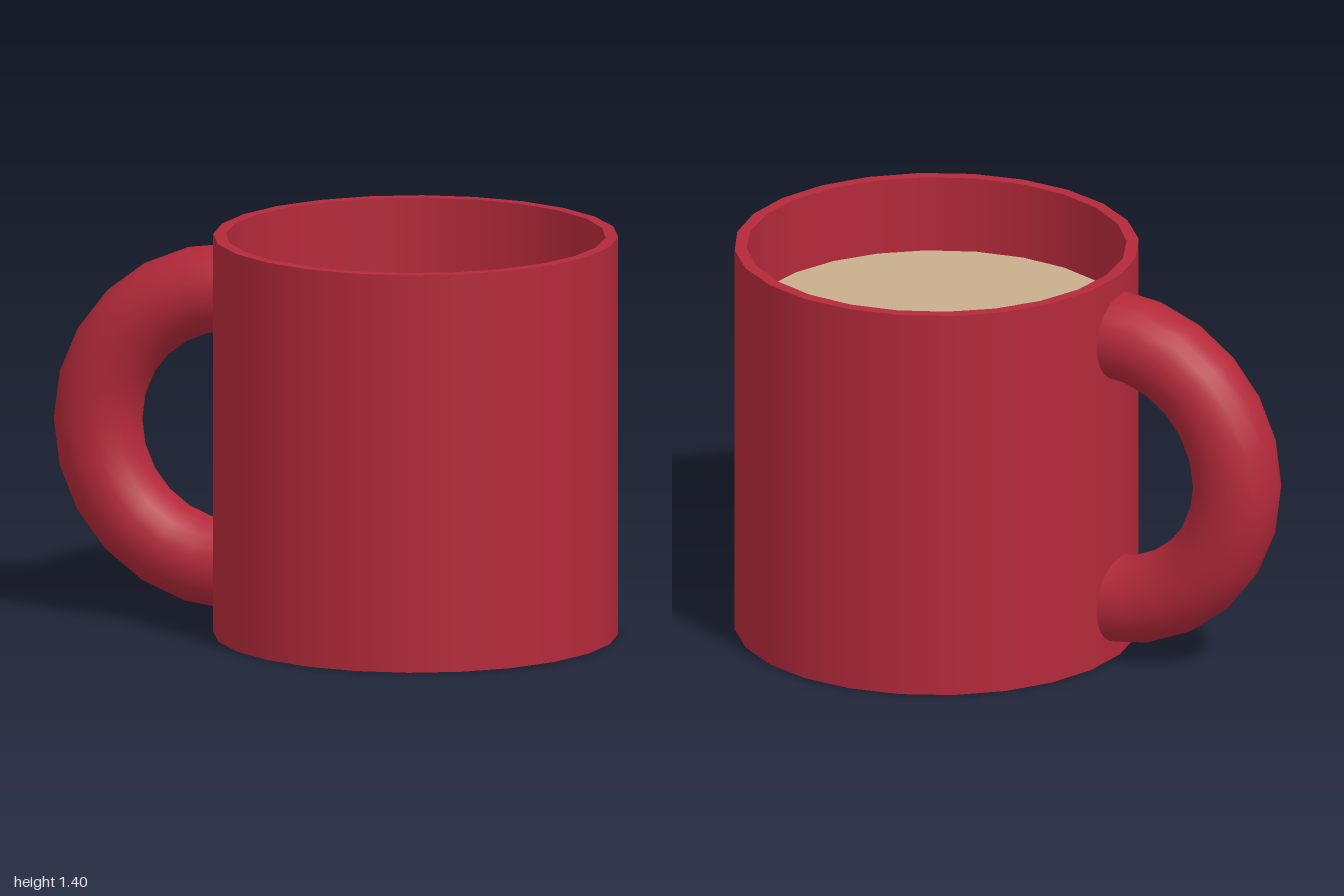
import * as THREE from 'three';

const SIDES = 24;
const OUTER = 0.7, INNER = 0.657, HEIGHT = 1.4, FLOOR = 0.06, LEVEL = 1.13;
const TWIST = THREE.MathUtils.degToRad(-1.7); // the inner wall is turned slightly

export function createModel() {
  const red = new THREE.MeshStandardMaterial({ color: 0xb3293a });
  const redInside = new THREE.MeshStandardMaterial({ color: 0xb3293a, side: THREE.BackSide });
  const tan = new THREE.MeshStandardMaterial({ color: 0xc8ad8c });

  const model = new THREE.Group();
  model.name = 'mug';
  const cup = new THREE.Group();
  cup.name = 'cup';
  cup.position.x = 0.3;
  model.add(cup);

  const add = (parent, name, geometry, material, x = 0, y = 0, z = 0) => {
    const mesh = new THREE.Mesh(geometry, material);
    mesh.name = name;
    mesh.position.set(x, y, z);
    parent.add(mesh);
    return mesh;
  };

  // Corner points of a many-sided ring, matching the cylinder walls
  const ring = (radius, turn) => Array.from({ length: SIDES }, (_, i) => {
    const a = (i / SIDES) * Math.PI * 2 + turn;
    return new THREE.Vector2(radius * Math.cos(a), radius * Math.sin(a));
  });
  const flat = (shape) => new THREE.ShapeGeometry(shape).rotateX(-Math.PI / 2);

  // Walls
  add(cup, 'outerWall',
    new THREE.CylinderGeometry(OUTER, OUTER, HEIGHT, SIDES, 1, true), red, 0, HEIGHT / 2);
  add(cup, 'innerWall',
    new THREE.CylinderGeometry(INNER, INNER, HEIGHT - FLOOR, SIDES, 1, true, TWIST),
    redInside, 0, (HEIGHT + FLOOR) / 2);

  // Rim joining the two walls
  const rim = new THREE.Shape(ring(OUTER, 0));
  rim.holes.push(new THREE.Path(ring(INNER, TWIST)));
  add(cup, 'rim', flat(rim), red, 0, HEIGHT);

  // Base, inner floor and drink
  const base = new THREE.CircleGeometry(OUTER, SIDES).rotateX(Math.PI / 2);
  add(cup, 'base', base, red);
  const disc = flat(new THREE.Shape(ring(INNER, TWIST)));
  add(cup, 'innerFloor', disc, red, 0, FLOOR);
  add(cup, 'drink', disc, tan, 0, LEVEL);

  // Handle: half ring on the model's right, with closed ends in the wall
  const handle = new THREE.Group();
  handle.name = 'handle';
  handle.position.set(-0.355, 0.69, 0.007);
  model.add(handle);
  const R = 0.49, TUBE = 0.153;
  add(handle, 'handleRing',
    new THREE.TorusGeometry(R, TUBE, 24, 12, Math.PI).rotateZ(Math.PI / 2), red);
  const cap = new THREE.CircleGeometry(TUBE, 24).rotateY(Math.PI / 2);
  for (const s of [1, -1]) add(handle, 'handleEnd', cap, red, 0, s * R, 0);

  return model;
}
